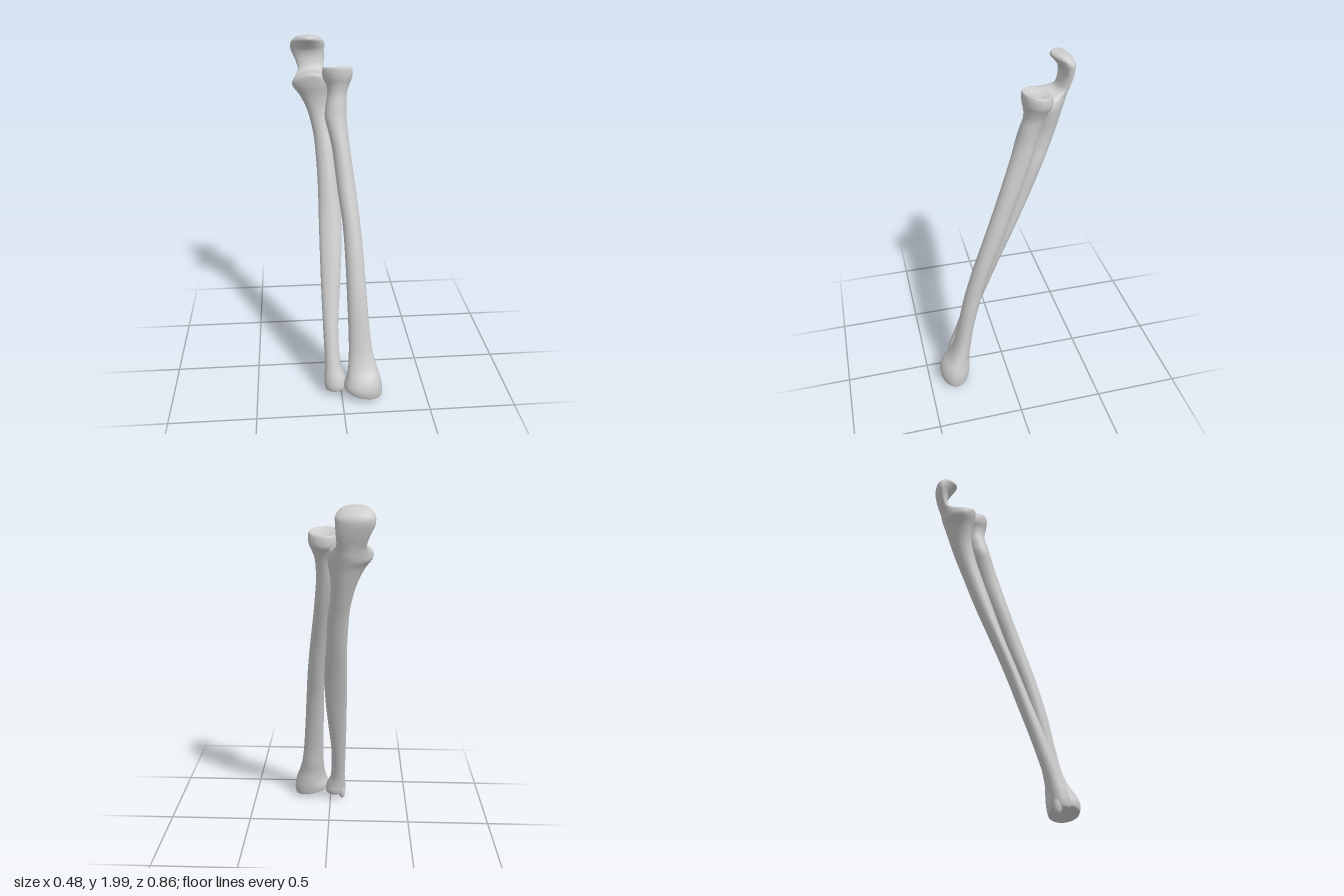
import * as THREE from 'three';

const RING = 36, STEPS = 6;

// Uniform Catmull-Rom between b and c
const spline = (a, b, c, d, t) =>
  b + 0.5 * t * (c - a + t * (2 * a - 5 * b + 4 * c - d + t * (3 * (b - c) + d - a)));

// Closed loft through sections listed from bottom to top:
// [y, xMin, xMax, zMin, zMax, slope along x, slope along z, taper to front, front ridge]
function loftBone(sections) {
  const n = sections.length;
  const at = (i, k) => sections[Math.min(n - 1, Math.max(0, i))][k] ?? 0;
  const pos = [], index = [];
  const rows = (n - 1) * STEPS + 1;
  for (let r = 0; r < rows; r++) {
    const i = Math.min(n - 2, Math.floor(r / STEPS)), t = r / STEPS - i;
    const [y, x0, x1, z0, z1, sx, sz, taper, ridge] = Array.from({ length: 9 }, (_, k) =>
      spline(at(i - 1, k), at(i, k), at(i + 1, k), at(i + 2, k), t));
    for (let j = 0; j < RING; j++) {
      const a = (j / RING) * Math.PI * 2, s = Math.sin(a);
      const dx = Math.cos(a) * (x1 - x0) / 2 * (1 + taper * s), dz = s * (z1 - z0) / 2;
      pos.push((x0 + x1) / 2 + dx,
        y + sx * dx + sz * dz + ridge * Math.max(0, s) ** 4,
        (z0 + z1) / 2 + dz);
    }
  }
  for (let r = 0; r < rows - 1; r++) {
    for (let j = 0; j < RING; j++) {
      const a = r * RING + j, b = r * RING + (j + 1) % RING;
      index.push(a, a + RING, b, b, a + RING, b + RING);
    }
  }
  // End caps as fans around the middle of the first and last ring
  for (const [row, top] of [[0, false], [rows - 1, true]]) {
    const c = pos.length / 3, o = row * RING, mid = [0, 0, 0];
    for (let j = 0; j < RING; j++) for (let k = 0; k < 3; k++) mid[k] += pos[(o + j) * 3 + k] / RING;
    pos.push(...mid);
    for (let j = 0; j < RING; j++) {
      const a = o + j, b = o + (j + 1) % RING;
      index.push(c, top ? b : a, top ? a : b);
    }
  }
  const g = new THREE.BufferGeometry();
  g.setAttribute('position', new THREE.Float32BufferAttribute(pos, 3));
  g.setIndex(index);
  g.computeVertexNormals();
  return g;
}

export function createModel() {
  const group = new THREE.Group();
  group.name = 'forearmBones';
  const material = new THREE.MeshStandardMaterial({ color: 0xcccccc });
  const add = (name, geometry) => {
    const mesh = new THREE.Mesh(geometry, material);
    mesh.name = name;
    group.add(mesh);
    return mesh;
  };

  // Radius: dished wrist end, bowed shaft, inner bump, neck and cupped round head
  const wristEnd = [
    [0.065, 0.09, 0.17, 0.31, 0.37, -0.2],
    [0.045, 0.04, 0.215, 0.27, 0.41, -0.24],
    [0.045, 0.015, 0.235, 0.255, 0.425, -0.22],
    [0.09, 0.015, 0.238, 0.245, 0.43, -0.1],
    [0.14, 0.03, 0.225, 0.242, 0.41, 0, 0, 0.1],
    [0.2, 0.04, 0.205, 0.24, 0.365, 0, 0, 0.15],
    [0.28, 0.045, 0.185, 0.225, 0.33, 0, 0, 0.1],
  ];
  const shaft = [
    [0.4, 0.045, 0.17, 0.205, 0.3],
    [0.6, 0.04, 0.155, 0.155, 0.255],
    [0.8, 0.035, 0.142, 0.095, 0.195],
    [1.0, 0.025, 0.127, 0.015, 0.125],
    [1.2, 0.0, 0.105, -0.06, 0.05],
    [1.4, -0.022, 0.08, -0.14, -0.02],
    [1.5, -0.042, 0.07, -0.175, -0.055],
    [1.58, -0.06, 0.063, -0.197, -0.08],
    [1.65, -0.053, 0.063, -0.213, -0.098],
    [1.71, -0.043, 0.068, -0.23, -0.115],
  ];
  const cuppedHead = [
    [1.755, -0.05, 0.082, -0.25, -0.115, 0, 0.1],
    [1.79, -0.067, 0.097, -0.268, -0.106, 0, 0.16],
    [1.825, -0.071, 0.1, -0.27, -0.104, 0, 0.18],
    [1.848, -0.064, 0.093, -0.264, -0.108, 0, 0.18],
    [1.846, -0.05, 0.08, -0.25, -0.12, 0, 0.18],
    [1.832, -0.01, 0.04, -0.21, -0.16, 0, 0.18],
  ];
  add('radius', loftBone([...wristEnd, ...shaft, ...cuppedHead]));

  // Ulna: small rounded head, slim shaft, forward shelf, notch and hooked top
  add('ulna', loftBone([
    [0.05, -0.06, 0.0, 0.275, 0.32],
    [0.04, -0.09, 0.022, 0.252, 0.342],
    [0.07, -0.1, 0.032, 0.238, 0.35],
    [0.12, -0.1, 0.022, 0.232, 0.338],
    [0.2, -0.095, -0.005, 0.213, 0.305],
    [0.4, -0.1, -0.01, 0.145, 0.23],
    [0.6, -0.104, 0.005, 0.073, 0.152],
    [0.8, -0.106, 0.02, 0.0, 0.077],
    [1.0, -0.106, 0.025, -0.082, 0.0],
    [1.2, -0.106, 0.012, -0.17, -0.068],
    [1.4, -0.116, 0.0, -0.25, -0.138],
    [1.5, -0.13, -0.015, -0.292, -0.172],
    [1.6, -0.157, -0.018, -0.33, -0.198, 0, 0, 0.1],
    [1.68, -0.195, -0.01, -0.358, -0.2, 0, 0, 0.2],
    [1.73, -0.232, -0.003, -0.375, -0.185, 0, 0.1, 0.2, 0.02],
    [1.765, -0.23, -0.012, -0.385, -0.187, 0, 0.15, 0.15, 0.035],
    [1.785, -0.212, -0.035, -0.391, -0.25, 0, 0.1, 0.05, 0.02],
    [1.81, -0.2, -0.05, -0.4, -0.325],
    [1.86, -0.215, -0.048, -0.417, -0.352],
    [1.91, -0.238, -0.045, -0.43, -0.352],
    [1.945, -0.238, -0.046, -0.43, -0.325, 0, 0.1, -0.25],
    [1.972, -0.226, -0.06, -0.418, -0.3, 0, 0.12, -0.35],
    [1.993, -0.2, -0.085, -0.395, -0.308, 0, 0.1, -0.3],
    [1.998, -0.165, -0.12, -0.37, -0.33],
  ]));

  // Pointed tip beside the lower ulna head
  const styloid = add('ulnaStyloid', new THREE.SphereGeometry(1, 20, 14));
  styloid.scale.set(0.02, 0.05, 0.024);
  styloid.position.set(-0.078, 0.055, 0.275);

  return group;
}
